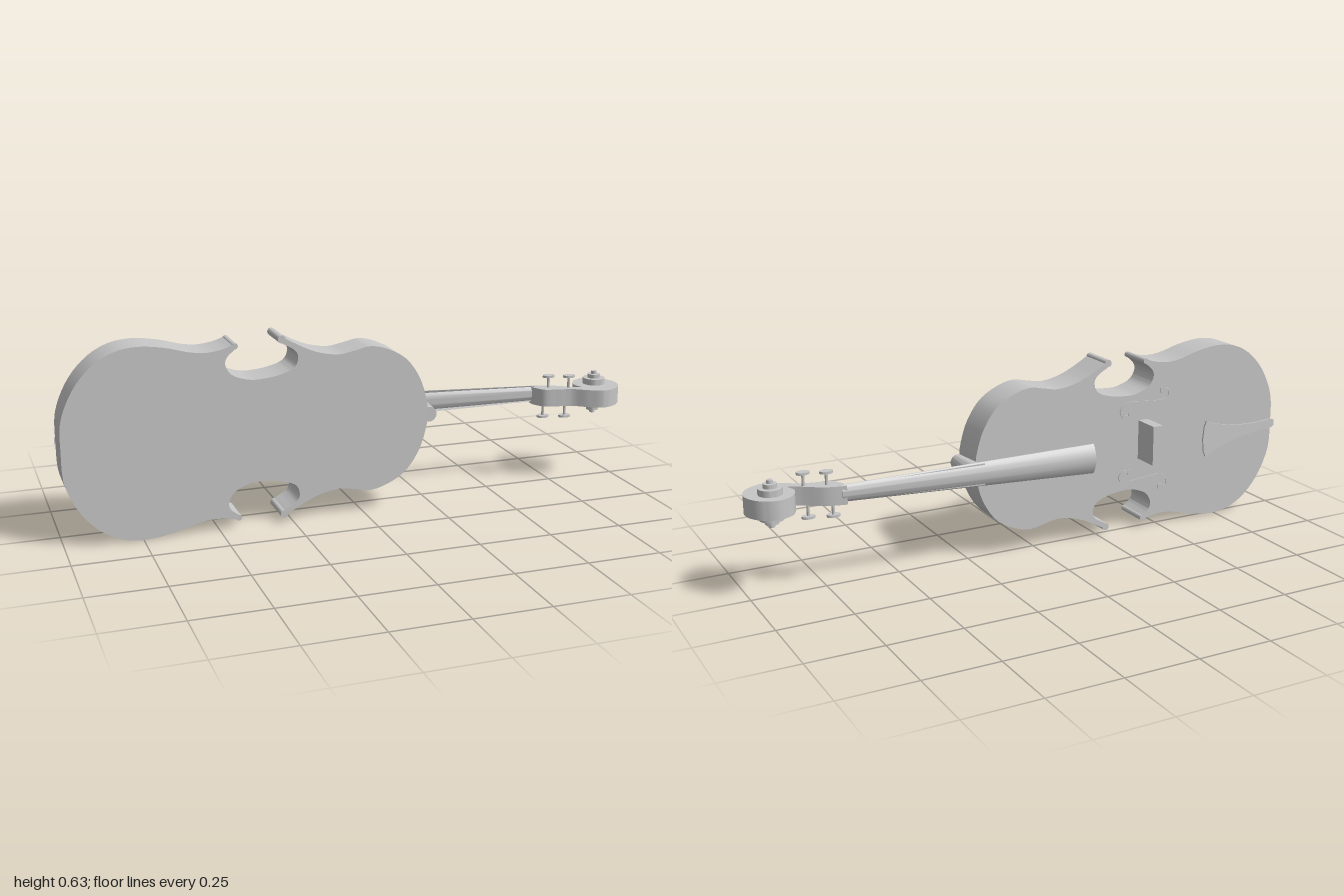
import * as THREE from 'three';
import { toCreasedNormals } from 'three/addons/utils/BufferGeometryUtils.js';

const CY = 0.318; // height of the long axis
const HEAD = -0.005; // the head sits slightly below the axis
const grey = new THREE.MeshStandardMaterial({ color: 0xc6c6c6 });
grey.name = 'plain grey';

const vec = (pts) => pts.map(([x, y]) => new THREE.Vector2(x, y));
const smooth = (pts, n = 6) => new THREE.SplineCurve(vec(pts)).getPoints(pts.length * n);
// Closed outline from an upper half, mirrored across the long axis and optionally lifted
const mirrored = (half, lift = () => 0) => new THREE.Shape(
  [...half, ...half.slice(1, -1).reverse().map((p) => new THREE.Vector2(p.x, lift(p.x) - p.y))]);
const extrude = (shape, depth) =>
  new THREE.ExtrudeGeometry(shape, { depth, bevelEnabled: false, curveSegments: 16 });

// Slide every vertex in z by a rule of x
function slope(g, rule) {
  const p = g.attributes.position;
  for (let i = 0; i < p.count; i++) p.setZ(i, p.getZ(i) + rule(p.getX(i)));
  return g;
}

// Flat stroke along a curve, widest in the middle
function strokeShape(pts, wMid, wEnd, n = 60) {
  const curve = new THREE.SplineCurve(vec(pts)), left = [], right = [];
  for (let i = 0; i <= n; i++) {
    const p = curve.getPoint(i / n), t = curve.getTangent(i / n);
    const w = wEnd + (wMid - wEnd) * Math.sin(Math.PI * i / n);
    left.push(new THREE.Vector2(p.x - t.y * w, p.y + t.x * w));
    right.unshift(new THREE.Vector2(p.x + t.y * w, p.y - t.x * w));
  }
  return new THREE.Shape([...left, ...right]);
}

// Solid skin between two loops of [x, y, z] points
function loft(a, b) {
  const n = a.length, pos = [...a, ...b].flat(), idx = [];
  for (let i = 0; i < n; i++) {
    const j = (i + 1) % n;
    idx.push(i, j, n + j, i, n + j, n + i);
  }
  // End caps, zipped between the two long edges of the loop
  for (let i = 0; i < n / 2 - 1; i++) {
    const k = n - 1 - i;
    idx.push(i, k, k - 1, i, k - 1, i + 1);
    idx.push(n + i, n + k - 1, n + k, n + i, n + i + 1, n + k - 1);
  }
  const g = new THREE.BufferGeometry();
  g.setAttribute('position', new THREE.Float32BufferAttribute(pos, 3));
  g.setIndex(idx);
  return g;
}

// Arched cross-section: outer edge then inner edge, each bowed towards -z
function arch(x, w, z0, bow0, z1, bow1, n = 10) {
  const pts = [];
  for (let i = 0; i <= n; i++) {
    const t = -1 + 2 * i / n;
    pts.push([x, w * t, z0 - bow0 * (1 - t * t)]);
  }
  for (let i = 0; i <= n; i++) {
    const t = 1 - 2 * i / n;
    pts.push([x, w * t, z1 - bow1 * (1 - t * t)]);
  }
  return pts;
}

export function createModel() {
  const model = new THREE.Group();
  const axis = new THREE.Group();
  axis.name = 'instrument';
  axis.position.y = CY;
  model.add(axis);
  const add = (name, geometry, x = 0, y = 0, z = 0) => {
    const m = new THREE.Mesh(toCreasedNormals(geometry, 0.6), grey);
    m.name = name;
    m.position.set(x, y, z);
    axis.add(m);
  };

  // Sound box: lower bout, waist, upper bout; its lower side is a little narrower past the waist
  const lower = smooth([[-0.995, 0], [-0.99, 0.1], [-0.95, 0.195], [-0.89, 0.265], [-0.82, 0.305],
    [-0.745, 0.317], [-0.66, 0.307], [-0.58, 0.286], [-0.525, 0.28], [-0.47, 0.288], [-0.432, 0.302]]);
  const waist = smooth([[-0.43, 0.286], [-0.46, 0.26], [-0.466, 0.232], [-0.444, 0.2], [-0.396, 0.182],
    [-0.353, 0.179], [-0.289, 0.187], [-0.24, 0.206], [-0.225, 0.238], [-0.237, 0.265],
    [-0.28, 0.291], [-0.291, 0.301], [-0.288, 0.31], [-0.278, 0.311]]);
  const upper = smooth([[-0.264, 0.303], [-0.203, 0.27], [-0.15, 0.249], [-0.086, 0.238], [-0.032, 0.246],
    [0.027, 0.256], [0.09, 0.24], [0.155, 0.2], [0.203, 0.13], [0.228, 0.05], [0.23, 0.007]]);
  const lift = (x) => 0.014 * THREE.MathUtils.smoothstep(x, -0.6, -0.35);
  const tilt = (x) => -0.0175 * (x + 0.9);
  const body = extrude(mirrored([...lower, ...waist, ...upper], lift), 0.126);
  add('body', slope(body.translate(0, 0, -0.012), tilt));

  // Rounded rolls on the four corners
  for (const [x, y, r] of [[-0.279, 0.303, 0.013], [-0.434, 0.293, 0.01]]) {
    for (const yy of [y, lift(x) - y]) {
      const roll = new THREE.CylinderGeometry(r, r, 0.126, 16).rotateX(Math.PI / 2);
      add('cornerRoll', roll, x, yy, 0.051 + tilt(x));
    }
  }

  // Sound holes: flat S strokes with round eyes
  const path = [[-0.375, 0.105], [-0.348, 0.1], [-0.336, 0.122], [-0.365, 0.144], [-0.43, 0.14],
    [-0.495, 0.137], [-0.532, 0.15], [-0.532, 0.176], [-0.505, 0.178]];
  for (const s of [1, -1]) {
    const pts = path.map(([x, y]) => [x, s * y + 0.004]);
    const flat = (g) => slope(g, (x) => tilt(x) - 0.015);
    add('soundHole', flat(extrude(strokeShape(pts, 0.008, 0.004), 0.006)));
    for (const [x, y] of [pts[0], pts[8]]) {
      const eye = new THREE.CylinderGeometry(0.011, 0.011, 0.006, 16).rotateX(Math.PI / 2);
      add('soundHoleEye', flat(eye.translate(x, y, 0.0025)));
    }
  }

  // Bridge
  add('bridge', new THREE.BoxGeometry(0.038, 0.14, 0.097), -0.427, 0.0145, -0.0685);

  // Tailpiece: thin flared plate rising towards the bridge
  const tail = [...smooth([[-0.997, 0], [-0.994, 0.012], [-0.97, 0.017], [-0.9, 0.017], [-0.8, 0.026],
    [-0.71, 0.045], [-0.65, 0.066]]), ...smooth([[-0.64, 0.045], [-0.635, 0]], 3)];
  add('tailpiece', slope(extrude(mirrored(tail), 0.006), (x) => -0.029 - 0.174 * (x + 1)));

  // Fingerboard and the neck below it
  const top = (x) => -0.118 + 0.077 * (x + 0.18);
  const width = (x) => 0.052 - 0.0273 * (x + 0.18);
  const board = (x) => arch(x, width(x), top(x) + width(x) * 0.36, width(x) * 0.36,
    top(x) + width(x) * 0.36 + 0.004, width(x) * 0.2);
  add('fingerboard', loft(board(-0.18), board(0.7)));
  const neck = (x) => arch(x, width(x) - 0.004, top(x) + 0.009, 0, top(x) + 0.013, -0.009);
  add('neck', loft(neck(0.22), neck(0.71)));

  // Heel joining neck and body, narrowing towards the back
  const heel = new THREE.CylinderGeometry(0.026, 0.036, 0.156, 28).rotateX(Math.PI / 2);
  add('heel', heel, 0.241, 0, 0.009);

  // Peg box sweeping into the scroll; drawn as [x, -z]
  const head = [...smooth([[0.685, 0.05], [0.75, 0.033], [0.815, -0.01], [0.858, -0.032]]),
    ...smooth([[0.85, -0.02], [0.843, 0.015], [0.868, 0.064], [0.92, 0.085], [0.973, 0.061],
      [1, 0.004], [0.98, -0.06], [0.915, -0.097], [0.857, -0.075], [0.81, -0.042],
      [0.76, -0.03], [0.71, -0.016], [0.685, 0.026]])];
  add('pegBoxAndScroll', extrude(new THREE.Shape(head), 0.062).rotateX(-Math.PI / 2), 0, HEAD - 0.031, 0);

  // Stepped scroll eyes running through both sides
  for (const [r, half] of [[0.039, 0.052], [0.022, 0.066], [0.01, 0.077]]) {
    add('scrollEye', new THREE.CylinderGeometry(r, r, half * 2, 28), 0.92, HEAD, -0.011);
  }

  // Tuning pegs with oval heads
  for (const [x, z, s] of [[0.737, -0.008, 1], [0.805, 0.016, 1], [0.72, -0.01, -1], [0.795, 0.012, -1]]) {
    add('pegShaft', new THREE.CylinderGeometry(0.005, 0.005, 0.06, 10), x, HEAD + s * 0.045, z);
    const grip = new THREE.CylinderGeometry(0.022, 0.022, 0.008, 20).scale(1, 1, 0.7);
    add('pegHead', grip, x, HEAD + s * 0.073, z);
  }
  return model;
}
